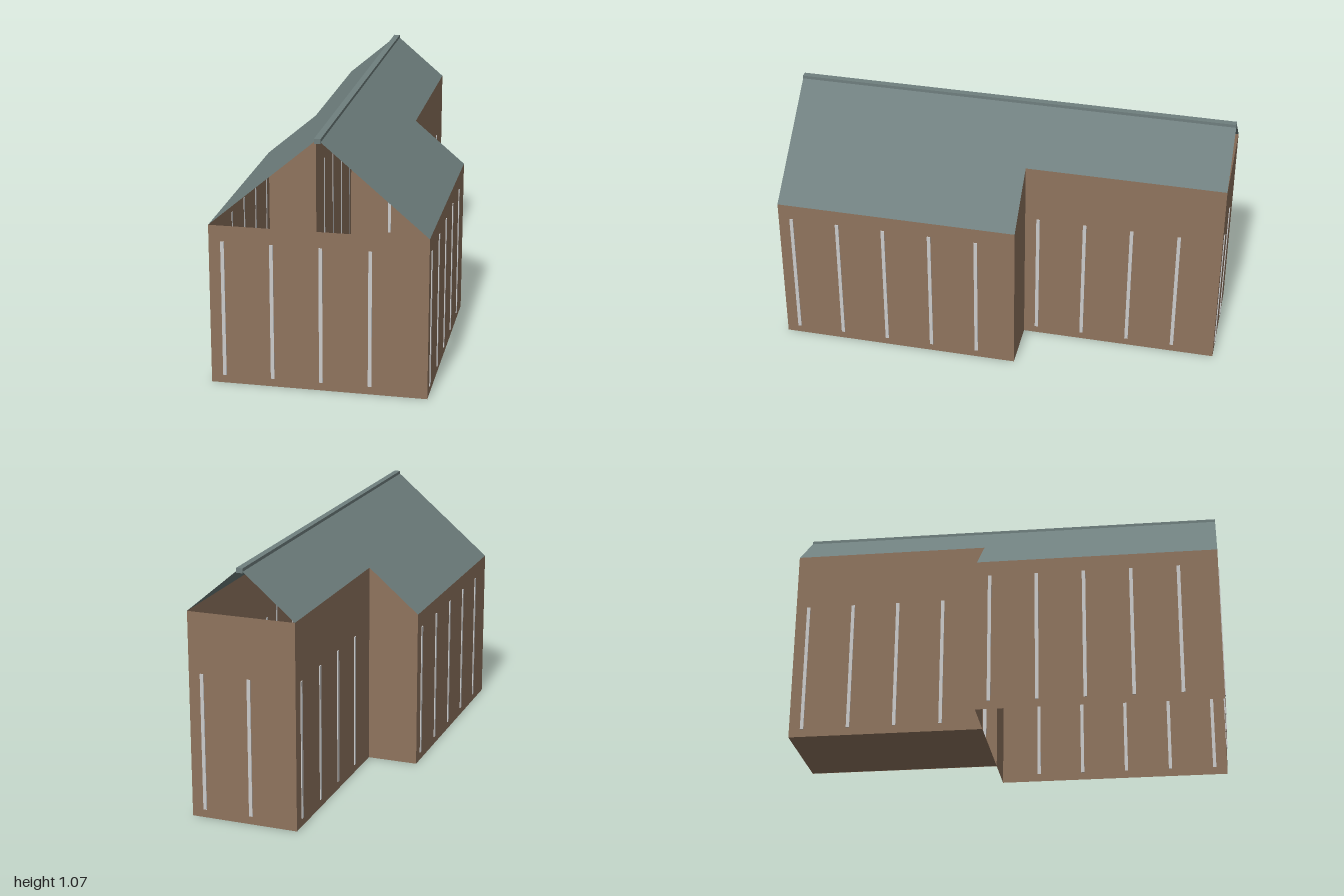
import * as THREE from 'three';

const WIDE = 0.452, NARROW = 0.23;              // half widths
const FRONT = 0.944, STEP = -0.094, BACK = -0.944; // positions along the building
const RIDGE = 1.072, SLOPE = 0.848;
const roofY = (x) => RIDGE - SLOPE * Math.abs(x);

export function createModel() {
  const model = new THREE.Group();
  const building = new THREE.Group();
  building.name = 'building';
  building.position.set(0.1, 0, -0.05);
  building.rotation.y = THREE.MathUtils.degToRad(-24.9);
  model.add(building);

  const wallMat = new THREE.MeshStandardMaterial({ color: 0x8f745e, side: THREE.DoubleSide, flatShading: true });
  const roofMat = new THREE.MeshStandardMaterial({ color: 0x6f7f7e, side: THREE.DoubleSide, flatShading: true });
  const stripMat = new THREE.MeshStandardMaterial({ color: 0xcccccc });

  const add = (name, geometry, material, parent = building) => {
    const mesh = new THREE.Mesh(geometry, material);
    mesh.name = name;
    parent.add(mesh);
    return mesh;
  };

  // Walls run around the outline; each top follows the roof at its corners
  const outline = [
    ['frontWall', -WIDE, FRONT, 4],
    ['rightFrontWall', WIDE, FRONT, 5],
    ['rightStepWall', WIDE, STEP, 0],
    ['rightBackWall', NARROW, STEP, 4],
    ['backWall', NARROW, BACK, 2],
    ['leftBackWall', -NARROW, BACK, 4],
    ['leftStepWall', -NARROW, STEP, 0],
    ['leftFrontWall', -WIDE, STEP, 5],
  ];
  outline.forEach(([name, x, z, strips], i) => {
    const [, x2, z2] = outline[(i + 1) % outline.length];
    const length = Math.hypot(x2 - x, z2 - z);
    const wall = new THREE.Group();
    wall.name = name;
    wall.position.set(x, 0, z);
    wall.rotation.y = Math.atan2(z - z2, x2 - x);
    building.add(wall);

    const face = new THREE.Shape([
      new THREE.Vector2(0, 0), new THREE.Vector2(length, 0),
      new THREE.Vector2(length, roofY(x2)), new THREE.Vector2(0, roofY(x)),
    ]);
    add('wallPanel', new THREE.ShapeGeometry(face), wallMat, wall);

    // Tall narrow windows at an even spacing
    for (let k = 0; k < strips; k++) {
      add('window', new THREE.BoxGeometry(0.015, 0.585, 0.006), stripMat, wall)
        .position.set(0.057 + k * 0.203, 0.328, 0.001);
    }
  });

  // Floor of the narrow rear part
  const floor = new THREE.PlaneGeometry(2 * NARROW, STEP - BACK).rotateX(Math.PI / 2);
  add('rearFloor', floor, wallMat).position.set(0, 0.001, (STEP + BACK) / 2);

  // Two roof slopes with stepped eaves, open at the gables
  for (const side of [1, -1]) {
    const plan = new THREE.Shape([
      [0, FRONT], [WIDE, FRONT], [WIDE, STEP], [NARROW, STEP], [NARROW, BACK], [0, BACK],
    ].map(([x, z]) => new THREE.Vector2(side * x, -z)));
    const slope = new THREE.ShapeGeometry(plan).rotateX(-Math.PI / 2);
    const p = slope.attributes.position;
    for (let i = 0; i < p.count; i++) p.setY(i, roofY(p.getX(i)));
    slope.computeVertexNormals();
    add(side > 0 ? 'rightRoof' : 'leftRoof', slope, roofMat);
  }

  // Ridge beam along the top
  add('ridgeCap', new THREE.BoxGeometry(0.027, 0.02, FRONT - BACK), roofMat)
    .position.set(0, RIDGE - 0.008, 0);

  return model;
}
